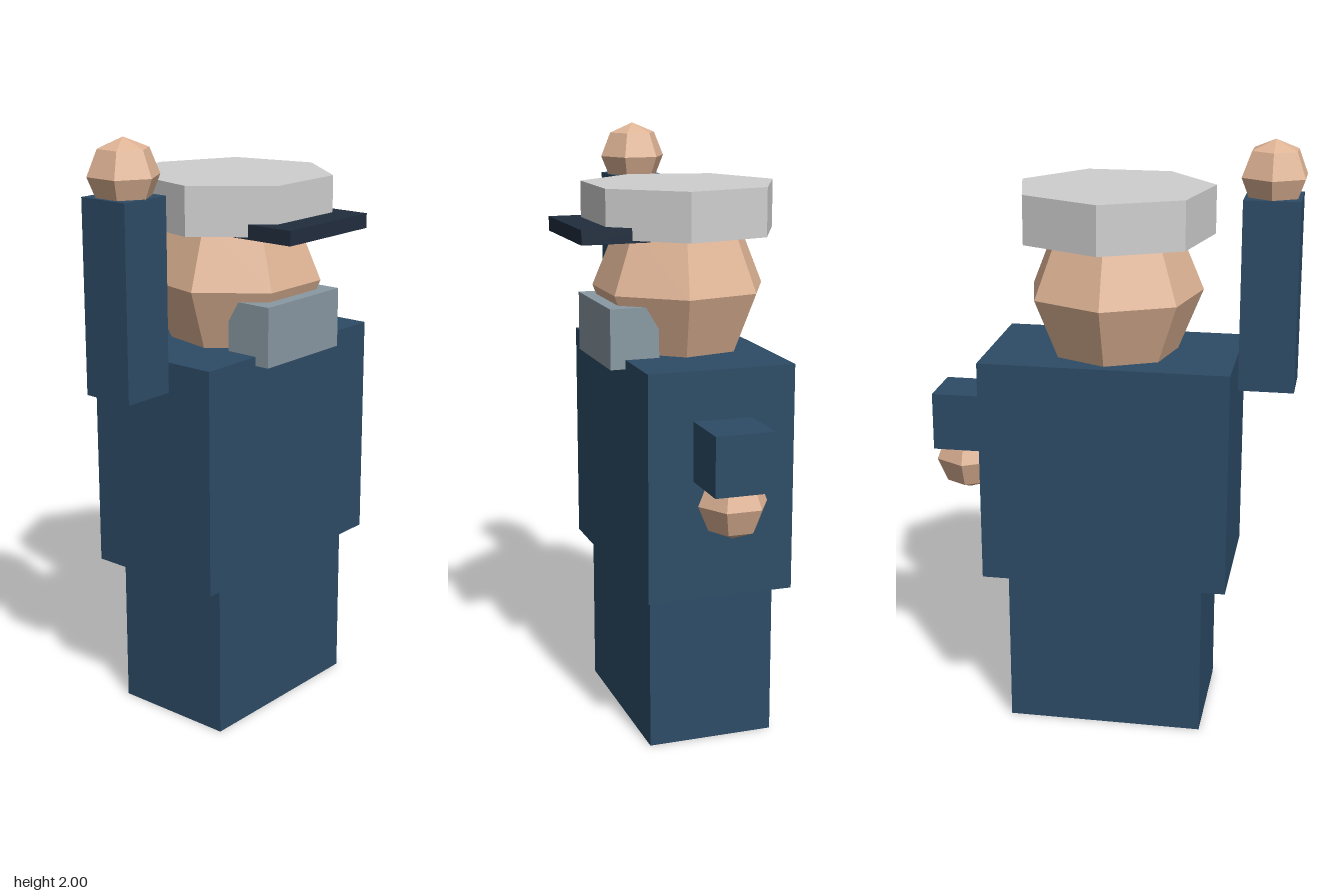
import * as THREE from 'three';

const mat = (name, color) => {
  const m = new THREE.MeshStandardMaterial({ color, flatShading: true });
  m.name = name;
  return m;
};

export function createModel() {
  const group = new THREE.Group();
  const uniform = mat('uniformBlue', 0x2d4c67);
  const skin = mat('skin', 0xdfb495);
  const cap = mat('capGrey', 0xcfcfcf);
  const dark = mat('visorNavy', 0x212d3e);
  const beard = mat('beardGrey', 0x8999a3);
  const axisZ = -0.033; // centre line of the body

  const add = (name, geometry, material, x, y, z) => {
    const mesh = new THREE.Mesh(geometry, material);
    mesh.name = name;
    mesh.position.set(x, y, z);
    group.add(mesh);
  };
  // box given by its limits on each axis
  const box = (name, material, [x0, x1], [y0, y1], [z0, z1]) =>
    add(name, new THREE.BoxGeometry(x1 - x0, y1 - y0, z1 - z0), material,
      (x0 + x1) / 2, (y0 + y1) / 2, (z0 + z1) / 2);
  // faceted ball with a corner pointing to the back
  const ball = (name, r, sides, x, y) =>
    add(name, new THREE.SphereGeometry(r, sides, 4).rotateY(-Math.PI / 2), skin, x, y, axisZ);

  // body
  box('legs', uniform, [-0.33, 0.33], [0, 0.535], [-0.246, 0.183]);
  box('torso', uniform, [-0.412, 0.412], [0.535, 1.29], [-0.28, 0.214]);

  // raised right arm and short left sleeve
  box('rightArm', uniform, [-0.605, -0.423], [1.195, 1.82], [-0.125, 0.055]);
  box('leftSleeve', uniform, [0.408, 0.61], [0.932, 1.128], [-0.133, 0.063]);
  ball('rightHand', 0.116, 6, -0.514, 1.884);
  ball('leftHand', 0.116, 6, 0.511, 0.88);

  // head and beard
  ball('head', 0.295, 7, 0, 1.49);
  box('beard', beard, [-0.185, 0.183], [1.26, 1.458], [0.1, 0.265]);

  // seven-sided cap with visor
  add('cap', new THREE.CylinderGeometry(0.331, 0.331, 0.16, 7).rotateY(Math.PI), cap, 0, 1.756, axisZ);
  box('visor', dark, [-0.2, 0.2], [1.668, 1.716], [0.135, 0.361]);

  return group;
}
